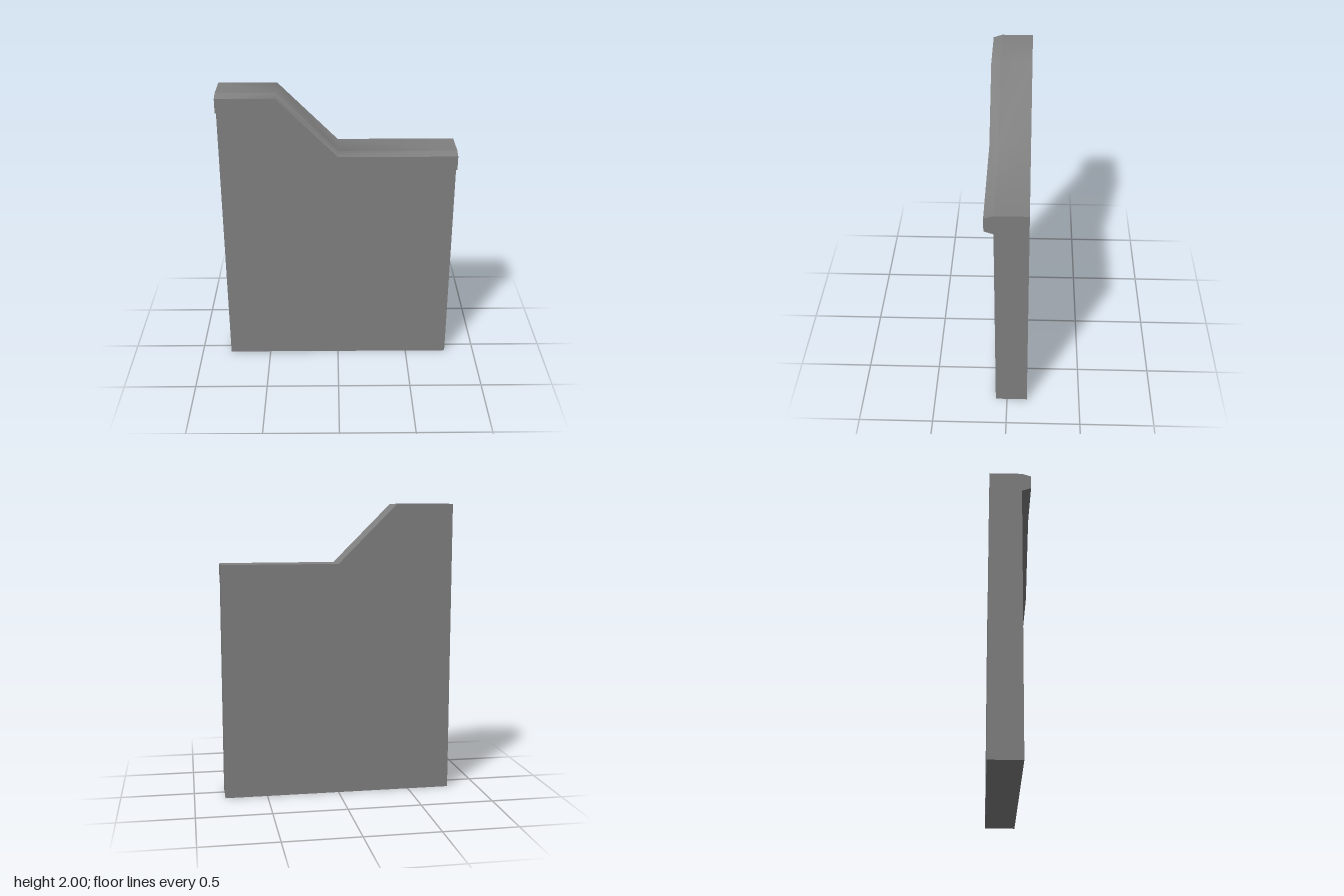
import * as THREE from 'three';
import { toCreasedNormals } from 'three/addons/utils/BufferGeometryUtils.js';

const HALF_W = 0.79, BACK = -0.138, FACE = 0.078, FRONT = 0.138;
const CREASE = THREE.MathUtils.degToRad(50); // smooths the bends, keeps corners sharp

// Stepped top edge, from the high end to the low end
const topEdge = [[-HALF_W, 2], [-0.4, 2], [0, 1.6], [HALF_W, 1.6]];

// Coping section: [z, drop below the top edge], from top to bottom
const section = [[FACE, 0], [FRONT, -0.02], [FRONT, -0.115], [FACE, -0.136]];

function wallGeometry() {
  const shape = new THREE.Shape();
  shape.moveTo(-HALF_W, 0);
  shape.lineTo(HALF_W, 0);
  [...topEdge].reverse().forEach(([x, y]) => shape.lineTo(x, y));
  const geo = new THREE.ExtrudeGeometry(shape, { depth: FACE - BACK, bevelEnabled: false });
  geo.translate(0, 0, BACK);
  return toCreasedNormals(geo, CREASE);
}

// Sweep the section along the top edge, keeping its drop vertical
function copingGeometry() {
  const n = section.length, pos = [], idx = [];
  for (const [x, y] of topEdge) for (const [z, dy] of section) pos.push(x, y + dy, z);
  for (let i = 0; i < topEdge.length - 1; i++) {
    for (let j = 0; j < n - 1; j++) {
      const a = i * n + j, b = a + n;
      idx.push(a, a + 1, b, b, a + 1, b + 1);
    }
  }
  // End faces
  const last = (topEdge.length - 1) * n;
  for (let j = 1; j < n - 1; j++) {
    idx.push(0, j + 1, j, last, last + j, last + j + 1);
  }
  const geo = new THREE.BufferGeometry();
  geo.setAttribute('position', new THREE.Float32BufferAttribute(pos, 3));
  geo.setIndex(idx);
  return toCreasedNormals(geo, CREASE);
}

export function createModel() {
  const stone = new THREE.MeshStandardMaterial({ color: 0x808080 });
  stone.name = 'grey stone';

  const wall = new THREE.Mesh(wallGeometry(), stone);
  wall.name = 'wallPanel';
  const coping = new THREE.Mesh(copingGeometry(), stone);
  coping.name = 'copingTrim';

  const group = new THREE.Group();
  group.name = 'steppedWall';
  group.add(wall, coping);
  return group;
}
